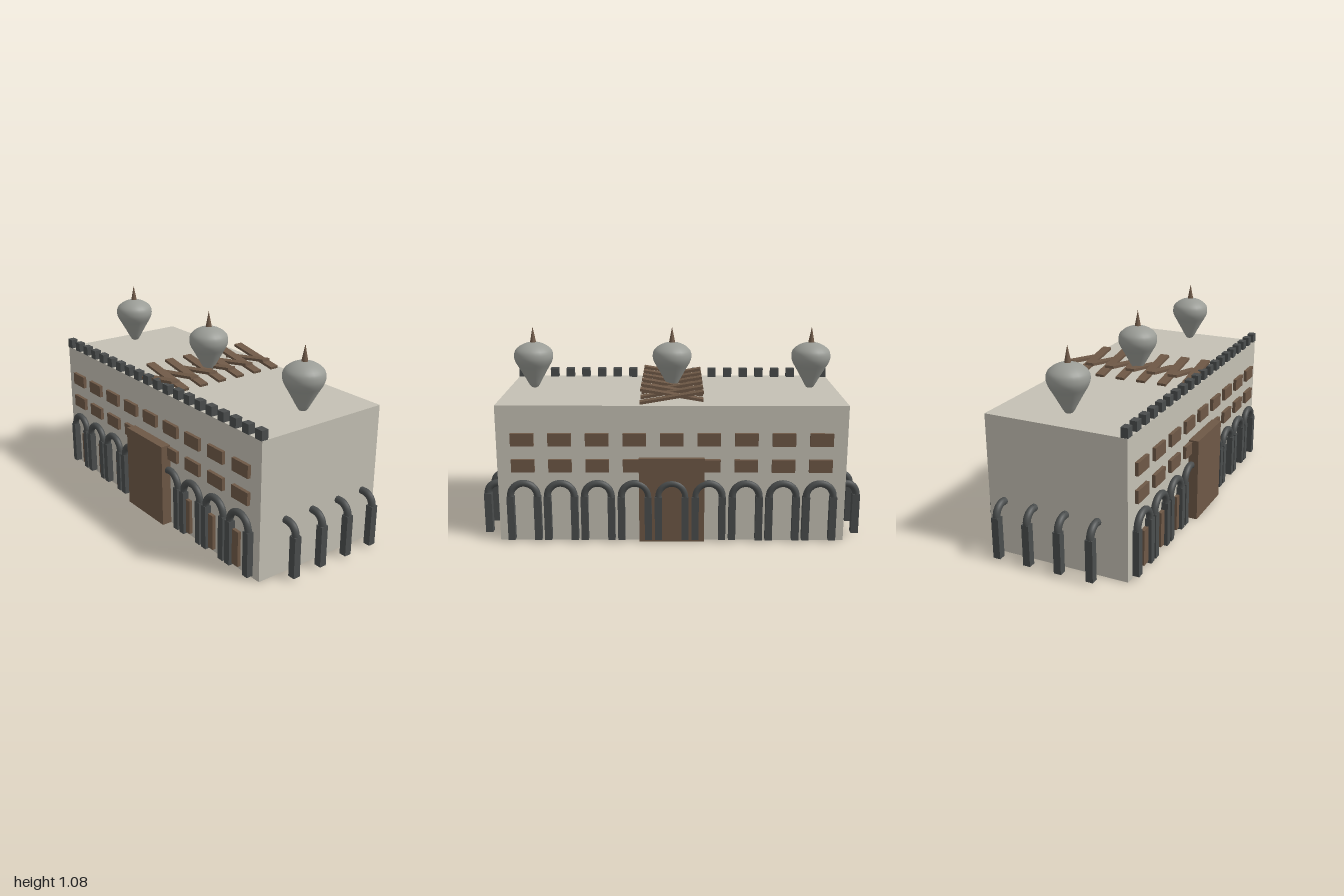
import * as THREE from 'three';

const mat = (color, extra = {}) => new THREE.MeshStandardMaterial({ color, ...extra });

export function createModel() {
  const root = new THREE.Group();
  const stone = mat(0xc4c0b4), wood = mat(0x6e5846), iron = mat(0x4a4d4d);
  const domeMat = mat(0x9a9c96, { side: THREE.DoubleSide });

  const FRONT = 0.372, BACK = -0.39, HALF = 0.905, ROOF = 0.73;

  const add = (parent, name, geometry, material, x = 0, y = 0, z = 0) => {
    const mesh = new THREE.Mesh(geometry, material);
    mesh.name = name;
    mesh.position.set(x, y, z);
    parent.add(mesh);
    return mesh;
  };
  const box = (parent, name, material, w, h, d, x, y, z) =>
    add(parent, name, new THREE.BoxGeometry(w, h, d), material, x, y, z);
  const group = (name) => {
    const g = new THREE.Group();
    g.name = name;
    root.add(g);
    return g;
  };

  // Main hall
  box(root, 'hall', stone, HALF * 2, ROOF, FRONT - BACK, 0, ROOF / 2, (FRONT + BACK) / 2);

  // Large doors
  box(root, 'frontDoor', wood, 0.34, 0.455, 0.055, 0, 0.2275, FRONT + 0.0265);
  box(root, 'backDoor', wood, 0.34, 0.455, 0.027, 0, 0.2275, BACK - 0.0125);

  // Two rows of nine windows and a row of nine arches on front and back
  const windows = group('windows');
  const arches = group('arches');
  const archTop = new THREE.TorusGeometry(0.07, 0.0185, 10, 20, Math.PI);
  for (const [wall, dir] of [[FRONT, 1], [BACK, -1]]) {
    for (let i = 0; i < 9; i++) {
      const x = (i - 4) * 0.1925;
      for (const y of [0.413, 0.553])
        box(windows, 'window', wood, 0.12, 0.067, 0.02, x, y, wall + dir * 0.0085);
      const z = wall + dir * 0.0175;
      add(arches, 'archTop', archTop, iron, x, 0.25, z);
      for (const s of [-1, 1])
        box(arches, 'archLeg', iron, 0.037, 0.238, 0.036, x + s * 0.07, 0.131, z);
    }
  }

  // Small ground-floor doors behind the front arches
  for (const s of [-1, 1])
    for (const x of [0.305, 0.505, 0.705])
      box(root, 'smallDoor', wood, 0.12, 0.19, 0.02, s * x, 0.115, FRONT + 0.008);

  // Curved buttresses on both ends: quarter bend, short stub into the wall, leg
  const bend = new THREE.TorusGeometry(0.056, 0.0195, 10, 12, Math.PI / 2);
  const stub = new THREE.CylinderGeometry(0.0195, 0.0195, 0.06, 10).rotateZ(Math.PI / 2);
  for (const s of [-1, 1]) {
    for (let i = 0; i < 4; i++) {
      const g = group('buttress');
      g.position.z = 0.215 - i * 0.1725;
      g.rotation.y = s > 0 ? 0 : Math.PI;
      add(g, 'buttressBend', bend, iron, 0.924, 0.231);
      add(g, 'buttressStub', stub, iron, 0.895, 0.287);
      box(g, 'buttressLeg', iron, 0.039, 0.219, 0.039, 0.98, 0.1215, 0);
    }
  }

  // Battlement along the front edge
  const battlement = group('battlement');
  for (let i = 0; i < 20; i++)
    box(battlement, 'merlon', iron, 0.047, 0.05, 0.038,
      -0.881 + i * (1.762 / 19), ROOF + 0.025, 0.356);

  // Crossed roof planks, alternately tilted
  const planks = group('roofPlanks');
  for (let i = 0; i < 12; i++) {
    const p = box(planks, 'plank', wood, 0.333, 0.014, 0.05, 0, 0.765, 0.328 - i * 0.061);
    p.rotation.z = i % 2 ? -0.17 : 0.17;
  }

  // Bulb domes with spires
  const profile = new THREE.SplineCurve([
    [0.001, 0.746], [0.02, 0.748], [0.05, 0.8], [0.078, 0.85], [0.098, 0.885],
    [0.106, 0.915], [0.1, 0.948], [0.074, 0.973], [0.04, 0.989], [0.001, 0.997],
  ].map(([x, y]) => new THREE.Vector2(x, y))).getPoints(28);
  profile.forEach((p) => { p.x = Math.max(p.x, 0); });
  const bulb = new THREE.LatheGeometry(profile, 24);
  const spire = new THREE.ConeGeometry(0.018, 0.092, 12);
  for (const x of [-0.757, 0, 0.757]) {
    const g = group('dome');
    g.position.set(x, 0, -0.008);
    add(g, 'bulb', bulb, domeMat);
    add(g, 'spire', spire, wood, 0, 1.033, 0);
  }

  // Centre the footprint on the origin
  root.updateMatrixWorld(true);
  const c = new THREE.Box3().setFromObject(root).getCenter(new THREE.Vector3());
  root.position.set(-c.x, 0, -c.z);
  return root;
}
